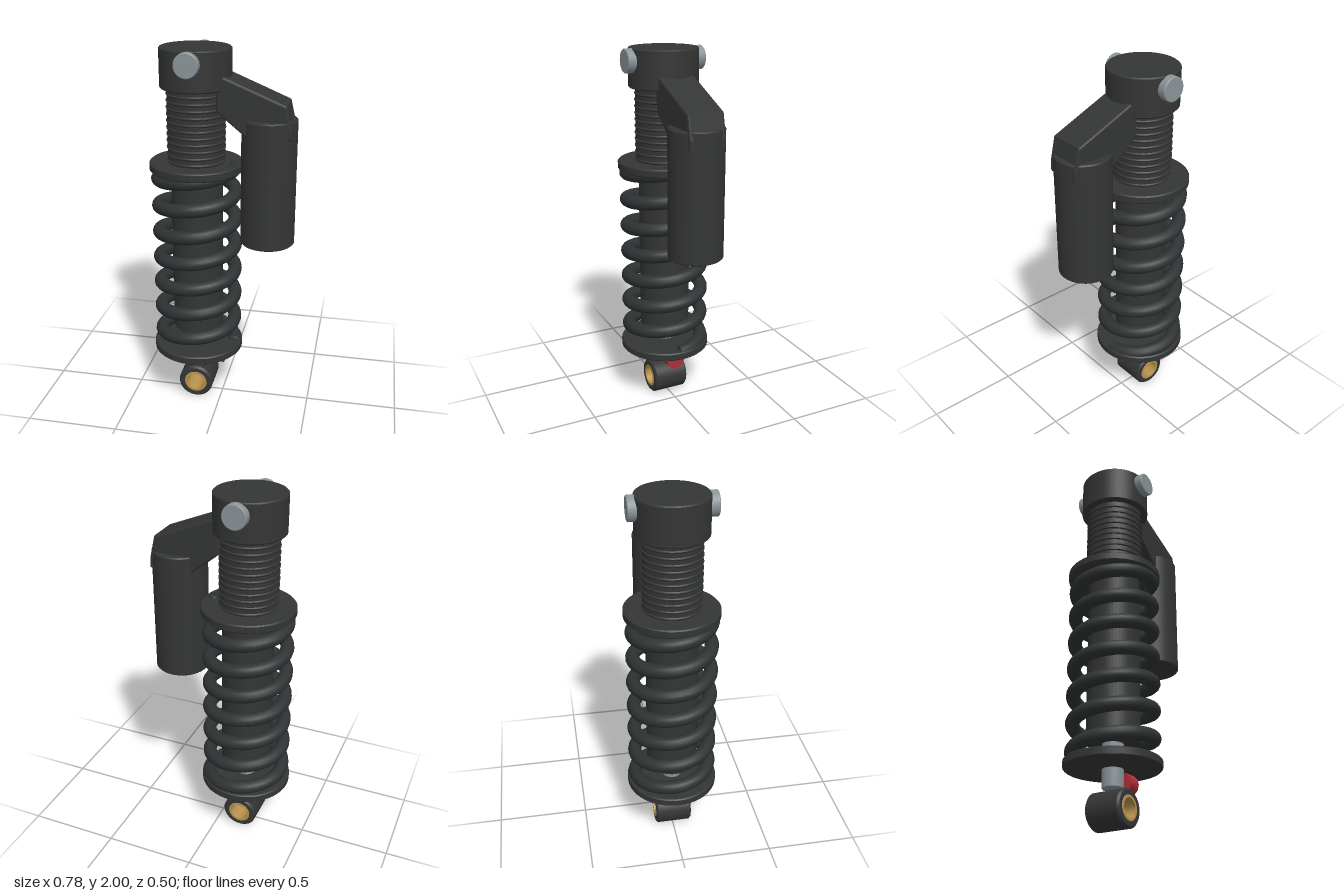
import * as THREE from 'three';

const AXIS = -0.14; // x of the damper centre line

const mat = (color, extra = {}) => new THREE.MeshStandardMaterial({ color, ...extra });

// Closed lathe from [radius, y] pairs; every straight run keeps its own sharp edges
function turned(points, segments = 48) {
  const profile = [];
  points.forEach(([r, y], i) => {
    const p = new THREE.Vector2(r, y);
    profile.push(p);
    if (i > 0 && i < points.length - 1) profile.push(p.clone());
  });
  const group = [];
  for (let i = 0; i < profile.length; i += 2) group.push(profile.slice(i, i + 2));
  return group.map((pair) => new THREE.LatheGeometry(pair, segments));
}

// Solid cylinder profile with a small chamfer
const disc = (r, y0, y1, c = 0.006) => [[0, y0], [r - c, y0], [r, y0 + c], [r, y1 - c], [r - c, y1], [0, y1]];

// Ring profile (outer radius, inner radius, half length)
const ring = (ro, ri, h, c) => [[ri, -h], [ro - c, -h], [ro, -h + c], [ro, h - c], [ro - c, h], [ri, h], [ri, -h]];

export function createModel() {
  const root = new THREE.Group();
  const black = mat(0x343635);
  const springBlack = mat(0x2f3334);
  const steel = mat(0x8b9498);
  const red = mat(0xae2f38);
  const brass = mat(0xb8934e);

  function addTurned(name, points, material, x = AXIS, y = 0, z = 0, segments = 48) {
    const part = new THREE.Group();
    part.name = name;
    turned(points, segments).forEach((g) => {
      const mesh = new THREE.Mesh(g, material);
      mesh.name = name + 'Surface';
      part.add(mesh);
    });
    part.position.set(x, y, z);
    root.add(part);
    return part;
  }

  // Top cap, damper body, shaft and spring seats
  addTurned('topCap', disc(0.186, 1.795, 2), black);
  addTurned('damperBody', disc(0.138, 0.43, 1.42), black);
  addTurned('shaft', disc(0.055, 0.2, 0.6), steel, AXIS, 0, 0, 32);
  addTurned('upperCollar', disc(0.25, 1.36, 1.405), black);
  addTurned('lowerPerch', disc(0.25, 0.3, 0.345), black);

  // Threaded sleeve with evenly spaced ridges
  const thread = [[0, 1.39], [0.151, 1.39]];
  for (let i = 0; i < 11; i++) {
    const y = 1.415 + i * 0.035;
    thread.push([0.151, y - 0.007], [0.156, y - 0.002], [0.156, y + 0.002], [0.151, y + 0.007]);
  }
  thread.push([0.151, 1.81], [0, 1.81]);
  addTurned('threadedSleeve', thread, black);

  // Coil spring: seven turns between the seats
  const TURNS = 7, R = 0.207, WIRE = 0.037;
  class Helix extends THREE.Curve {
    getPoint(t, target = new THREE.Vector3()) {
      const a = t * TURNS * Math.PI * 2;
      return target.set(R * Math.cos(a), 0.33 + 1.05 * t, -R * Math.sin(a));
    }
  }
  const helix = new Helix();
  const spring = new THREE.Mesh(new THREE.TubeGeometry(helix, 280, WIRE, 14), springBlack);
  spring.name = 'coilSpring';
  spring.position.x = AXIS;
  root.add(spring);
  for (const t of [0, 1]) {
    const end = new THREE.Mesh(new THREE.SphereGeometry(WIRE, 14, 10), springBlack);
    end.name = 'springEnd';
    end.position.copy(helix.getPoint(t)).setX(AXIS + R);
    end.scale.z = 0.3;
    root.add(end);
  }

  // Mounting bolts on the front and back of the cap
  for (const side of [1, -1]) {
    const bolt = addTurned('mountBolt', disc(0.063, 0.1, 0.22, 0.004), steel, AXIS, 1.937, 0, 32);
    bolt.rotation.x = side * Math.PI / 2;
  }

  // Reservoir and the bridge joining it to the cap
  addTurned('reservoir', disc(0.145, 0.97, 1.652), black, 0.245);
  const b = 0.012;
  const outline = [[-0.004, 1.697], [0.135, 1.584], [0.2, 1.572], [0.358, 1.572], [0.358, 1.61],
    [0.331, 1.727], [0.022, 1.855], [-0.004, 1.855]];
  const shape = new THREE.Shape(outline.map(([x, y]) => new THREE.Vector2(x, y)));
  const bridgeGeo = new THREE.ExtrudeGeometry(shape, {
    depth: 0.2 - 2 * b, bevelThickness: b, bevelSize: b, bevelSegments: 3,
  });
  bridgeGeo.translate(0, 0, -0.1 + b);
  const bridge = new THREE.Mesh(bridgeGeo, black);
  bridge.name = 'reservoirBridge';
  root.add(bridge);

  // Lower eye with its bushing, bored along z
  const eye = addTurned('lowerEye', ring(0.097, 0.064, 0.1, 0.01), black, AXIS, 0.097);
  eye.rotation.x = Math.PI / 2;
  const bushing = addTurned('eyeBushing', ring(0.065, 0.05, 0.102, 0.003), brass, AXIS, 0.097);
  bushing.rotation.x = Math.PI / 2;

  // Rebound adjuster knob, lying along x
  const knob = new THREE.Mesh(new THREE.CylinderGeometry(0.055, 0.055, 0.072, 12), red);
  knob.name = 'adjusterKnob';
  knob.rotation.z = Math.PI / 2;
  knob.position.set(-0.024, 0.25, 0);
  root.add(knob);

  return root;
}
